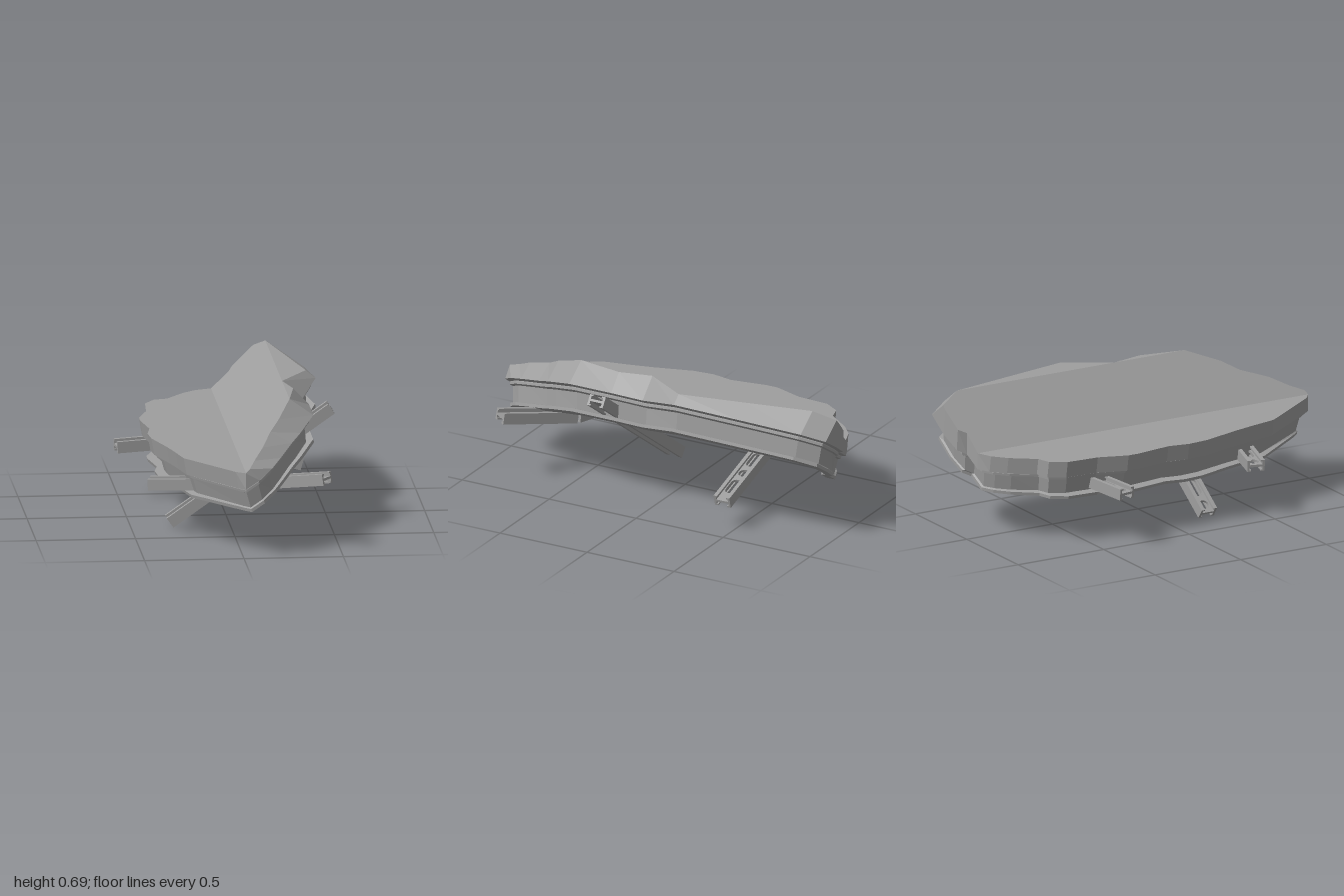
import * as THREE from 'three';

const FOLD = 0.01;
const material = new THREE.MeshStandardMaterial({ color: 0x9e9e9e, flatShading: true, side: THREE.DoubleSide });

// Right half of the outline, back to front: top edge x, lower edge x, z
const rightEdge = [
  [0.01, 0.01, -0.93], [0.1, 0.1, -0.94], [0.12, 0.13, -0.98], [0.21, 0.22, -1], [0.23, 0.34, -1],
  [0.28, 0.4, -0.89], [0.35, 0.44, -0.55], [0.42, 0.47, -0.2], [0.28, 0.38, 0.03], [0.32, 0.4, 0.2],
  [0.28, 0.4, 0.44], [0.21, 0.32, 0.61], [0.16, 0.27, 0.69], [0.11, 0.2, 0.83], [0.06, 0.15, 0.92],
  [0.03, 0.08, 0.99], [0.01, 0.01, 1],
];
// Left half, front to back: top edge x, z
const leftEdge = [
  [-0.04, 0.96], [-0.27, 0.63], [-0.3, 0.49], [-0.33, 0.37], [-0.39, 0.17], [-0.4, 0.06], [-0.38, -0.05],
  [-0.41, -0.24], [-0.41, -0.3], [-0.36, -0.45], [-0.35, -0.62], [-0.3, -0.7], [-0.23, -0.72],
  [-0.14, -0.84], [-0.07, -0.9],
];
const outline = [...rightEdge, ...leftEdge.map(([x, z]) => [x, x + 0.015, z])];

// Height of the folded top and of a layer h above the folded underside
const topY = (x) => 0.44 + Math.min(0.25, Math.max(0, x - FOLD) * 0.926);
const layerY = (x, h) => Math.max(0.23 + h, 0.23 + 1.18 * h + (x - 0.045) * 0.64);
// Lower layers sit further right, square to the fold
const layerShift = (h) => 0.28 * (0.125 - h);

const topRing = outline.map(([x, , z]) => new THREE.Vector3(x, topY(x), z));
// Outline inset at its left, right and ends, at layer height h
function ring([left, right, ends, h]) {
  return outline.map(([, x, z]) => {
    const inset = x > FOLD ? right / 0.46 : left / 0.41;
    const px = FOLD + (x - FOLD) * (1 - inset) + layerShift(h);
    return new THREE.Vector3(px, layerY(px, h), z * (1 - ends));
  });
}

function fromTriangles(points) {
  const geometry = new THREE.BufferGeometry().setFromPoints(points);
  geometry.computeVertexNormals();
  return geometry;
}

// Skin joining successive rings
function loft(rings) {
  const tris = [];
  for (let r = 0; r < rings.length - 1; r++) {
    const a = rings[r], b = rings[r + 1];
    a.forEach((p, i) => {
      const j = (i + 1) % a.length;
      tris.push(p, a[j], b[i], a[j], b[j], b[i]);
    });
  }
  return fromTriangles(tris);
}

// Fill a ring panel by panel so that the folds stay straight
function cap(points, folds, facing) {
  const tris = [];
  const limits = [-9, ...folds, 9];
  for (let k = 0; k < limits.length - 1; k++) {
    const panel = points.filter((p) => p.x >= limits[k] - 1e-6 && p.x <= limits[k + 1] + 1e-6);
    const flat = panel.map((p) => new THREE.Vector2(p.x, p.z));
    for (const f of THREE.ShapeUtils.triangulateShape(flat, [])) {
      const [a, b, c] = f.map((i) => panel[i]);
      const ny = (b.z - a.z) * (c.x - a.x) - (b.x - a.x) * (c.z - a.z);
      if (ny * facing > 0) tris.push(a, b, c);
      else tris.push(a, c, b);
    }
  }
  return fromTriangles(tris);
}

function add(parent, name, geometry) {
  const mesh = new THREE.Mesh(geometry, material);
  mesh.name = name;
  parent.add(mesh);
  return mesh;
}

// Web plate with alternating round holes and slots
function webGeometry(length, width) {
  const shape = new THREE.Shape();
  shape.moveTo(0, -width / 2);
  shape.lineTo(length, -width / 2);
  shape.lineTo(length, width / 2);
  shape.lineTo(0, width / 2);
  const r = 0.027;
  let x = 0.05;
  for (let i = 0; x < length - 0.05; i++) {
    const slot = i % 2 ? 0.06 : 0;
    if (x + slot > length - 0.04) break;
    const hole = new THREE.Path();
    hole.absarc(x + slot, 0, r, -Math.PI / 2, Math.PI / 2, false);
    hole.absarc(x, 0, r, Math.PI / 2, Math.PI * 1.5, false);
    hole.closePath();
    shape.holes.push(hole);
    x += slot + 0.085;
  }
  const geometry = new THREE.ExtrudeGeometry(shape, { depth: 0.012, bevelEnabled: false, curveSegments: 8 });
  return geometry.rotateX(-Math.PI / 2);
}

// Channel beam between two points
function beamSegment(from, to) {
  const width = 0.09, height = 0.058;
  const a = new THREE.Vector3(...from), b = new THREE.Vector3(...to);
  const length = a.distanceTo(b);
  const dir = b.clone().sub(a).normalize();
  const side = new THREE.Vector3().crossVectors(dir, new THREE.Vector3(0, 1, 0)).normalize();
  const up = new THREE.Vector3().crossVectors(side, dir);
  const group = new THREE.Group();
  group.name = 'beamSegment';
  add(group, 'beamWeb', webGeometry(length, width - 0.01)).position.y = -0.006;
  for (const s of [-1, 1]) {
    const flange = add(group, 'beamFlange', new THREE.BoxGeometry(length, height, 0.012));
    flange.position.set(length / 2, 0, s * (width / 2 - 0.006));
    // Small lips along the flange edges
    for (const v of [-1, 1]) {
      const lip = add(group, 'beamLip', new THREE.BoxGeometry(length, 0.008, 0.016));
      lip.position.set(length / 2, v * (height / 2 - 0.004), s * (width / 2 - 0.012));
    }
  }
  group.applyMatrix4(new THREE.Matrix4().makeBasis(dir, up, side).setPosition(a));
  return group;
}

export function createModel() {
  const model = new THREE.Group();
  model.name = 'foldedPlatform';

  // Thick folded slab
  const slab = new THREE.Group();
  slab.name = 'slab';
  const seam = [0.03, 0.035, 0.03, 0.12];
  add(slab, 'slabTop', cap(topRing, [FOLD, 0.28], 1));
  add(slab, 'slabSide', loft([topRing, ring([0, 0, 0, 0.125]), ring(seam)]));
  model.add(slab);

  // Flanged rim around the recessed underside: left, right and end inset, height
  const profile = [
    seam, [0.025, 0.03, 0.028, 0.116], [0.025, 0.03, 0.028, 0.104],
    [0.042, 0.06, 0.045, 0.1], [0.042, 0.075, 0.055, 0.022],
    [-0.01, 0.035, 0.045, 0.016], [-0.01, 0.035, 0.045, 0],
    [0.085, 0.11, 0.1, 0], [0.085, 0.11, 0.1, 0.012],
    [0.065, 0.095, 0.08, 0.018], [0.065, 0.095, 0.08, 0.06],
  ];
  const rings = profile.map(ring);
  add(model, 'rim', loft(rings));
  add(model, 'underside', cap(rings[rings.length - 1], [FOLD + layerShift(0.06)], -1));

  // Perforated support beams, straight or bent
  const beams = {
    slopedBeam: [[-0.305, 0.026, 0.225], [0.506, 0.595, 0.225]],
    backBeam: [[-0.52, 0.281, -0.375], [-0.08, 0.295, -0.44], [0.42, 0.157, -0.45]],
    frontBeam: [[-0.425, 0.271, 0.435], [0.1, 0.296, 0.58], [0.435, 0.364, 0.818]],
  };
  for (const [name, path] of Object.entries(beams)) {
    const beam = new THREE.Group();
    beam.name = name;
    for (let i = 0; i < path.length - 1; i++) beam.add(beamSegment(path[i], path[i + 1]));
    model.add(beam);
  }
  return model;
}
